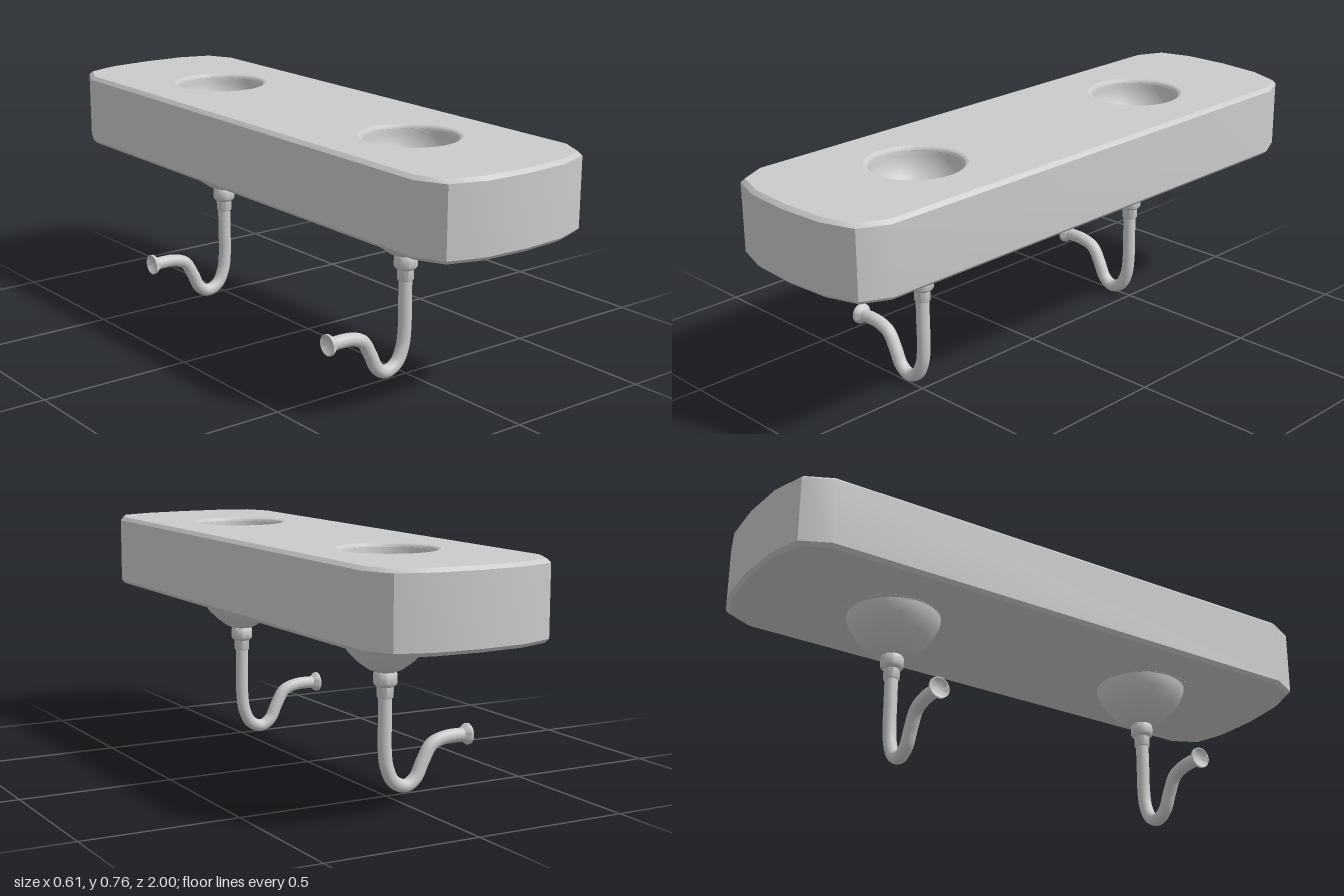
import * as THREE from 'three';
import { toCreasedNormals } from 'three/addons/utils/BufferGeometryUtils.js';

const material = new THREE.MeshStandardMaterial({ color: 0xcccccc });

function addMesh(parent, name, geometry) {
  const mesh = new THREE.Mesh(geometry, material);
  mesh.name = name;
  parent.add(mesh);
  return mesh;
}

const lathe = (points, segments = 40) =>
  new THREE.LatheGeometry(points.map(([r, y]) => new THREE.Vector2(r, y)), segments);

const BOTTOM = 0.525, TOP = 0.767, BEVEL = 0.012;

// Long block with clipped corners and two round openings
function slabGeometry() {
  const corner = [[0.305, 0.86], [0.26, 0.953], [0.15, 0.99], [0, 1]];
  const outline = [
    ...corner,
    ...corner.slice(0, 3).reverse().map(([x, z]) => [-x, z]),
    ...corner.map(([x, z]) => [-x, -z]),
    ...corner.slice(0, 3).reverse().map(([x, z]) => [x, -z]),
  ];
  const shape = new THREE.Shape(outline.map(([x, z]) => new THREE.Vector2(x, z)));
  for (const z of [-0.5, 0.5]) {
    shape.holes.push(new THREE.Path().absarc(0, z, 0.145, 0, Math.PI * 2, true));
  }
  const geometry = new THREE.ExtrudeGeometry(shape, {
    depth: TOP - BOTTOM - 2 * BEVEL, curveSegments: 40,
    bevelSize: BEVEL, bevelThickness: BEVEL, bevelOffset: -BEVEL, bevelSegments: 1,
  });
  geometry.rotateX(-Math.PI / 2).translate(0, BOTTOM + BEVEL, 0);
  return toCreasedNormals(geometry, 0.6);
}

// Round lip running into a hemispherical hollow
function basinGeometry() {
  const points = [[0.159, TOP + 0.0005], [0.152, TOP - 0.002], [0.1475, TOP - 0.006], [0.145, TOP - 0.014]];
  const steps = 14;
  for (let i = 1; i <= steps; i++) {
    const a = (i / steps) * Math.PI / 2;
    points.push([0.145 * Math.cos(a), TOP - 0.014 - 0.135 * Math.sin(a)]);
  }
  return lathe(points);
}

// Dome, stepped collar, curved pipe and flared end
function createHook() {
  const hook = new THREE.Group();
  hook.name = 'hook';

  addMesh(hook, 'dome', lathe([
    [0, 0.385], [0.035, 0.391], [0.055, 0.4], [0.085, 0.422], [0.115, 0.452],
    [0.137, 0.484], [0.149, 0.512], [0.153, 0.54],
  ]));

  addMesh(hook, 'collar', toCreasedNormals(lathe([
    [0, 0.309], [0.024, 0.309], [0.026, 0.313], [0.026, 0.344], [0.033, 0.349],
    [0.037, 0.355], [0.037, 0.384], [0.034, 0.39], [0, 0.394],
  ], 24), 0.7));

  const path = new THREE.CatmullRomCurve3([
    [0, 0.34], [0, 0.24], [0, 0.15], [-0.008, 0.09], [-0.033, 0.042], [-0.076, 0.024],
    [-0.112, 0.045], [-0.138, 0.095], [-0.169, 0.144], [-0.218, 0.162], [-0.295, 0.164],
  ].map(([x, y]) => new THREE.Vector3(x, y, 0)));
  addMesh(hook, 'pipe', new THREE.TubeGeometry(path, 70, 0.0215, 18));

  const flare = toCreasedNormals(lathe([
    [0.021, 0], [0.024, 0.004], [0.032, 0.013], [0.034, 0.016], [0.034, 0.024],
    [0.031, 0.024], [0.022, 0.015], [0, 0.012],
  ], 24), 0.7);
  flare.rotateZ(Math.PI / 2).translate(-0.283, 0.164, 0);
  addMesh(hook, 'pipeEnd', flare);
  return hook;
}

export function createModel() {
  const model = new THREE.Group();
  model.name = 'doubleBasin';
  addMesh(model, 'slab', slabGeometry());

  for (const side of [-1, 1]) {
    addMesh(model, 'basin', basinGeometry()).position.z = side * 0.5;

    // Plate closing the opening from beneath
    const plate = addMesh(model, 'basePlate', new THREE.CylinderGeometry(0.16, 0.16, 0.03, 40));
    plate.position.set(0, BOTTOM + 0.0145, side * 0.5);

    const hook = createHook();
    hook.position.z = side * 0.49;
    model.add(hook);
  }
  return model;
}
